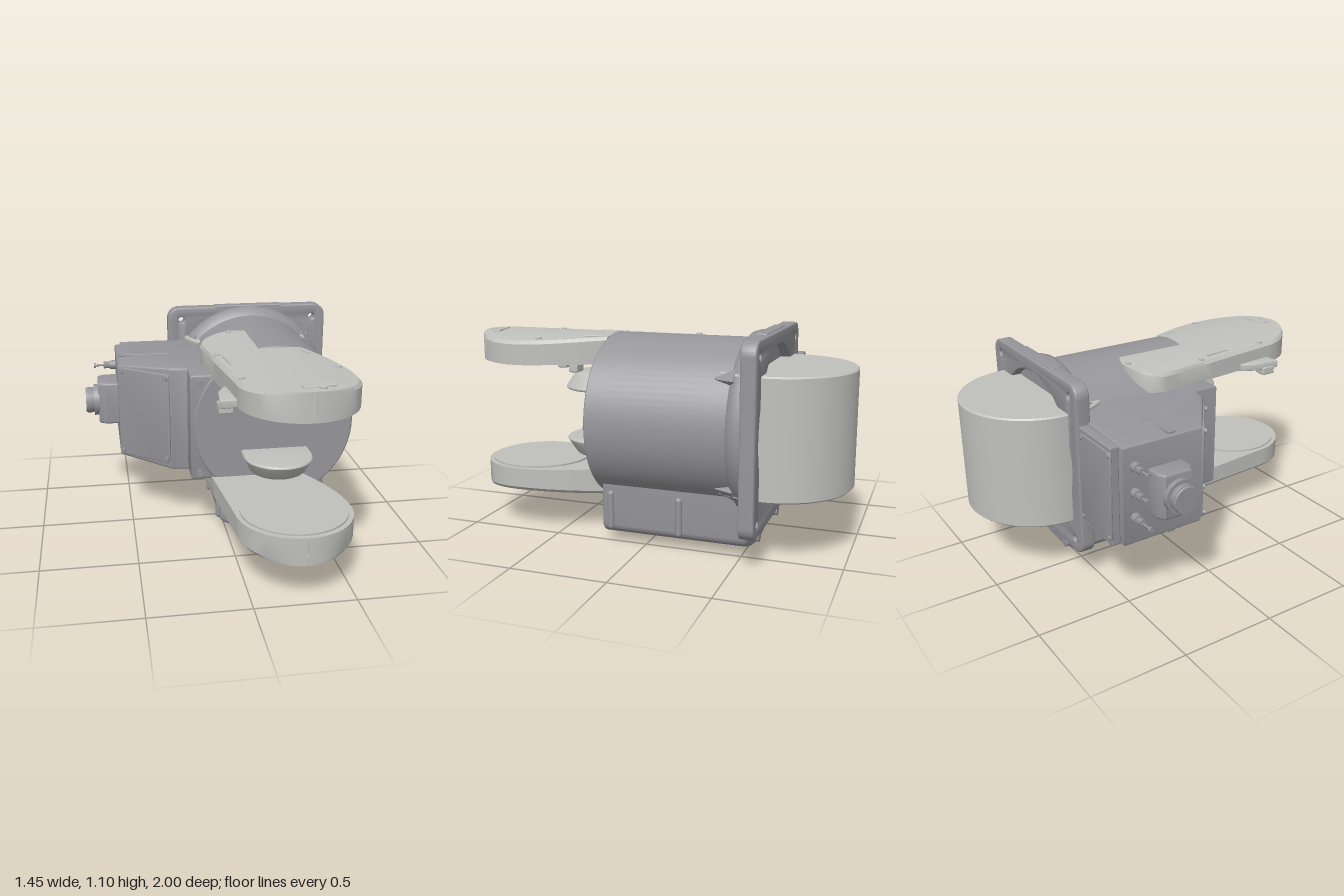
import * as THREE from 'three';
import { toCreasedNormals } from 'three/addons/utils/BufferGeometryUtils.js';
import { RoundedBoxGeometry } from 'three/addons/geometries/RoundedBoxGeometry.js';

const CX = 0.245, CY = 0.63; // axis of the main barrel

export function createModel() {
  const root = new THREE.Group();
  const body = new THREE.MeshStandardMaterial({ color: 0x96959a });
  body.name = 'mid grey';
  const light = new THREE.MeshStandardMaterial({ color: 0xc0c0bd });
  light.name = 'light grey';

  const add = (name, geo, mat, x = 0, y = 0, z = 0, parent = root) => {
    const m = new THREE.Mesh(geo, mat);
    m.name = name;
    m.position.set(x, y, z);
    parent.add(m);
    return m;
  };
  const cyl = (r, len, axis, r2 = r, seg = 24) => {
    const g = new THREE.CylinderGeometry(r, r2, len, seg);
    if (axis === 'x') g.rotateZ(-Math.PI / 2);
    if (axis === 'z') g.rotateX(Math.PI / 2);
    return g;
  };
  const box = (w, h, d, r = 0.008) => new RoundedBoxGeometry(w, h, d, 2, r);
  const polygon = pts => new THREE.Shape(pts.map(p => new THREE.Vector2(...p)));
  const extrude = (shape, depth, bevel = 0.012) => {
    const g = new THREE.ExtrudeGeometry(shape, {
      depth: depth - 2 * bevel, bevelSize: bevel, bevelThickness: bevel,
      bevelOffset: -bevel, bevelSegments: 3, curveSegments: 24,
    });
    return toCreasedNormals(g.translate(0, 0, bevel), 0.6);
  };
  // plan outline in x and z, extruded from y0 up to y1
  const plan = (shape, y0, y1, bevel) =>
    extrude(shape, y1 - y0, bevel).rotateX(Math.PI / 2).translate(0, y1, 0);
  const roundRect = (x0, y0, x1, y1, r) => {
    const s = new THREE.Shape();
    s.absarc(x1 - r, y0 + r, r, -Math.PI / 2, 0);
    s.absarc(x1 - r, y1 - r, r, 0, Math.PI / 2);
    s.absarc(x0 + r, y1 - r, r, Math.PI / 2, Math.PI);
    s.absarc(x0 + r, y0 + r, r, Math.PI, Math.PI * 1.5);
    return s;
  };

  // barrel with its flared collar
  const profile = [[0, -0.56], [0.465, -0.56], [0.465, -0.51], [0.455, -0.48], [0.425, -0.455],
    [0.425, 0.253], [0.418, 0.26], [0, 0.26]].map(p => new THREE.Vector2(...p));
  add('barrel', toCreasedNormals(new THREE.LatheGeometry(profile, 80).rotateX(Math.PI / 2), 0.6), body, CX, CY, 0);
  add('barrelScrew', cyl(0.012, 0.01, 'z'), body, 0.645, CY, 0.262);

  // square mounting plate with a round opening and corner holes
  const plate = roundRect(-0.23, 0.16, 0.72, 1.095, 0.07);
  plate.holes.push(new THREE.Path().absarc(CX, CY, 0.4, 0, Math.PI * 2, true));
  for (const sx of [-1, 1]) for (const sy of [-1, 1])
    plate.holes.push(new THREE.Path().absarc(CX + sx * 0.395, 0.627 + sy * 0.395, 0.018, 0, Math.PI * 2, true));
  add('mountingPlate', extrude(plate, 0.075, 0.008), body, 0, 0, -0.61);
  add('plateTopRib', box(0.4, 0.03, 0.06), body, 0.25, 1.087, -0.565);
  for (const sx of [-1, 1]) for (const sy of [-1, 1]) {
    const gusset = new THREE.ConeGeometry(0.055, 0.12, 4).rotateX(Math.PI / 2);
    add('gusset', toCreasedNormals(gusset, 0.3), body, CX + sx * 0.325, CY + sy * 0.265, -0.42);
  }

  // rear drum, standing upright behind the plate
  const drum = [[0, 0.33], [0.375, 0.33], [0.383, 0.338], [0.383, 0.92], [0.375, 0.928], [0, 0.928]]
    .map(p => new THREE.Vector2(...p));
  add('rearDrum', toCreasedNormals(new THREE.LatheGeometry(drum, 80), 0.6), light, 0.24, 0, -0.615);

  // side housing with a sloping front
  const housing = polygon([[-0.55, -0.55], [0.1, -0.55], [0.1, 0.25], [-0.195, 0.25],
    [-0.195, 0.11], [-0.28, 0.1], [-0.55, -0.1]]);
  const housingGeo = plan(housing, 0.34, 0.915, 0.015);
  const p = housingGeo.attributes.position;
  for (let i = 0; i < p.count; i++) { // outer end is slightly lower
    const t = Math.max(0, -0.27 - p.getX(i)) / 0.28;
    p.setY(i, CY + (p.getY(i) - CY) * (1 - 0.09 * t));
  }
  add('sideHousing', toCreasedNormals(housingGeo, 0.5), body);
  add('housingFlange', box(0.3, 0.52, 0.05), body, -0.37, CY, -0.575);
  add('rearCover', extrude(roundRect(-0.53, 0.4, -0.24, 0.87, 0.02), 0.012, 0.003), body, 0, 0, -0.608);
  for (const y of [0.42, 0.85]) for (const x of [-0.51, -0.26])
    add('rearCoverScrew', cyl(0.012, 0.012, 'z'), body, x, y, -0.61);
  const slope = new THREE.Group();
  slope.name = 'slopedCover';
  slope.position.set(-0.415, CY, 0);
  slope.rotation.y = -Math.atan2(0.2, 0.27);
  root.add(slope);
  add('slopedCoverPanel', extrude(roundRect(-0.16, -0.25, 0.16, 0.25, 0.02), 0.016, 0.004), body, 0, 0, -0.006, slope);
  for (const x of [-0.14, 0.14]) for (const y of [-0.225, 0.225])
    add('slopedCoverScrew', cyl(0.013, 0.02, 'z'), body, x, y, 0.012, slope);
  for (const y of [0.38, 0.872])
    add('housingBolt', cyl(0.021, 0.016, 'z', 0.021, 6), body, -0.148, y, 0.256);
  for (const s of [-1, 1])
    add('housingRib', box(0.28, 0.012, 0.04, 0.004), body, -0.4, CY + s * 0.268, -0.27);

  // large round connector and three small plugs on the outer side
  add('connectorBase', plan(polygon([[-0.54, -0.41], [-0.54, -0.215], [-0.62, -0.215], [-0.66, -0.24],
    [-0.66, -0.385], [-0.62, -0.41]]), 0.51, 0.75, 0.012), body);
  add('connectorCollar', cyl(0.088, 0.03, 'x', 0.088, 40), body, -0.67, CY, -0.31);
  add('connectorRing', cyl(0.068, 0.05, 'x', 0.075, 40), body, -0.695, CY, -0.31);
  add('connectorCap', cyl(0.075, 0.02, 'x', 0.068, 40), body, -0.72, CY, -0.31);
  for (const [y, tip] of [[0.782, -0.67], [0.645, -0.66], [0.512, -0.69]]) {
    add('plugBase', cyl(0.026, 0.04, 'x'), body, -0.565, y, -0.487);
    add('plugNut', cyl(0.02, 0.05, 'x', 0.02, 6), body, -0.595, y, -0.487);
    add('plugPin', cyl(0.006, -0.58 - tip, 'x', 0.006, 10), body, (tip - 0.58) / 2, y, -0.487);
    add('plugTip', cyl(0.014, 0.012, 'x', 0.014, 14), body, tip, y, -0.487);
  }

  // lower box with a bowed underside
  const lower = new THREE.Shape();
  lower.moveTo(-0.04, 0.33).lineTo(-0.04, 0.11);
  lower.quadraticCurveTo(-0.04, 0.07, 0.0, 0.055);
  lower.quadraticCurveTo(0.245, -0.045, 0.49, 0.055);
  lower.quadraticCurveTo(0.53, 0.07, 0.53, 0.11);
  lower.lineTo(0.53, 0.33).closePath();
  add('lowerBox', extrude(lower, 0.76, 0.018), body, 0, 0, -0.53);
  for (const x of [-0.038, 0.528]) for (const z of [0.18, -0.185])
    add('lowerBoxRib', new THREE.CapsuleGeometry(0.018, 0.17, 6, 14), body, x, 0.18, z);
  for (let i = 0; i < 3; i++)
    add('lowerBoxRearRail', box(0.42, 0.018, 0.05, 0.005), body, 0.245, 0.11 + i * 0.045, -0.545);
  for (const x of [0.04, 0.45])
    add('lowerBoxRearBolt', cyl(0.025, 0.06, 'z'), body, x, 0.1, -0.55);

  // arms: a broad round end narrowing to a tail over the barrel
  const arc = (r, d) => Math.sqrt(Math.max(r * r - d * d, 1e-6));
  const left = z => z < 0 ? 0.06 - arc(0.17, z) : z < 0.71 ? -0.11 + 0.07 * z / 0.71 : 0.25 - arc(0.29, z - 0.71);
  const right = (z, tail) => tail ? (z < 0 ? 0.06 + arc(0.17, z) : 0.2 + Math.min(0, 0.05 - z) * 0.05 + 0.03 * Math.min(1, z / 0.25))
    : z < 0.71 ? 0.39 + 0.15 * Math.sin(Math.PI / 2 * (z - 0.25) / 0.46) : 0.25 + arc(0.29, z - 0.71);
  const top = x => 1.048 - 0.32 * (x - 0.25) ** 2;
  const rows = [];
  for (let i = 0; i <= 12; i++) rows.push([-0.17 * Math.cos(i / 12 * Math.PI / 2), true]);
  rows.push([0.1, true], [0.25, true]);
  for (let i = 0; i <= 8; i++) rows.push([0.25 + 0.46 * i / 8, false]);
  for (let i = 1; i <= 18; i++) rows.push([0.71 + 0.29 * Math.sin(i / 18 * Math.PI / 2), false]);
  const us = [0.97, 0.85, 0.7, 0.6, 0.5, 0.4, 0.3, 0.15, 0.03];
  const verts = [], index = [], N = us.length + 4;
  rows.forEach(([z, tail], i) => {
    const l = left(z), r = right(z, tail);
    verts.push(l, 0.905, z, r, 0.905, z, r, top(r) - 0.015, z);
    for (const u of us) verts.push(l + (r - l) * u, top(l + (r - l) * u), z);
    verts.push(l, top(l) - 0.015, z);
    if (i) for (let j = 0; j < N; j++) {
      const k = (j + 1) % N, a = (i - 1) * N, b = i * N;
      index.push(a + j, a + k, b + k, a + j, b + k, b + j);
    }
  });
  const raw = new THREE.BufferGeometry();
  raw.setAttribute('position', new THREE.Float32BufferAttribute(verts, 3));
  raw.setIndex(index);
  const armGeo = toCreasedNormals(raw, 0.5);

  // inner pad: rounded front, tapering away from the centre
  const padShape = new THREE.Shape();
  padShape.moveTo(0.07, 0.2).lineTo(0.43, 0.2).lineTo(0.43, 0.35);
  padShape.absarc(0.25, 0.35, 0.18, 0, Math.PI);
  const padGeo = plan(padShape, 0.757, 0.85, 0.012);
  const q = padGeo.attributes.position;
  for (let i = 0; i < q.count; i++) {
    const s = 1 - 0.22 * Math.max(0, q.getY(i) - 0.79) / 0.06;
    q.setX(i, 0.25 + (q.getX(i) - 0.25) * s);
    q.setZ(i, 0.26 + (q.getZ(i) - 0.26) * s);
  }
  const padCreased = toCreasedNormals(padGeo, 0.5);

  for (const side of [1, -1]) {
    const g = new THREE.Group();
    g.name = side > 0 ? 'upperArm' : 'lowerArm';
    g.scale.y = side;
    if (side < 0) g.position.y = 1.256;
    root.add(g);
    add('armShell', armGeo, light, 0, 0, 0, g);
    add('armInnerDisc', cyl(0.265, 0.016, 'y', 0.265, 64), light, 0.25, 0.904, 0.71, g);
    add('innerPad', padCreased, light, 0, 0, 0, g);
    for (const [x, z] of [[0.065, -0.14], [-0.055, 0.25], [-0.01, 0.69], [0.475, 0.59], [0.3, 0.95]])
      add('armScrew', cyl(0.017, 0.012, 'y', 0.017, 6), light, x, top(x), z, g);
    add('armBar', box(0.155, 0.012, 0.04, 0.004), light, 0.29, top(0.29), 0.915, g).rotation.y = 0.18;
    add('armSlotLeft', box(0.022, 0.01, 0.15, 0.003), light, -0.02, top(-0.02), 0.38, g).rotation.y = 0.1;
    add('armSlotRight', box(0.022, 0.01, 0.1, 0.003), light, 0.375, top(0.375), 0.32, g).rotation.y = 0.25;
  }

  // bracket and latches beneath the upper arm
  add('sideBracket', plan(polygon([[-0.12, 0.74], [-0.02, 0.73], [-0.03, 0.5], [-0.07, 0.53], [-0.105, 0.6]]),
    0.9, 0.94, 0.004), light);
  add('bracketBlock', box(0.07, 0.045, 0.08), light, -0.085, 0.89, 0.68);
  add('latchRail', box(0.4, 0.03, 0.05), light, 0.2, 0.89, 0.5);
  add('latchBlock', box(0.08, 0.045, 0.05), light, 0.395, 0.882, 0.42);

  return root;
}
